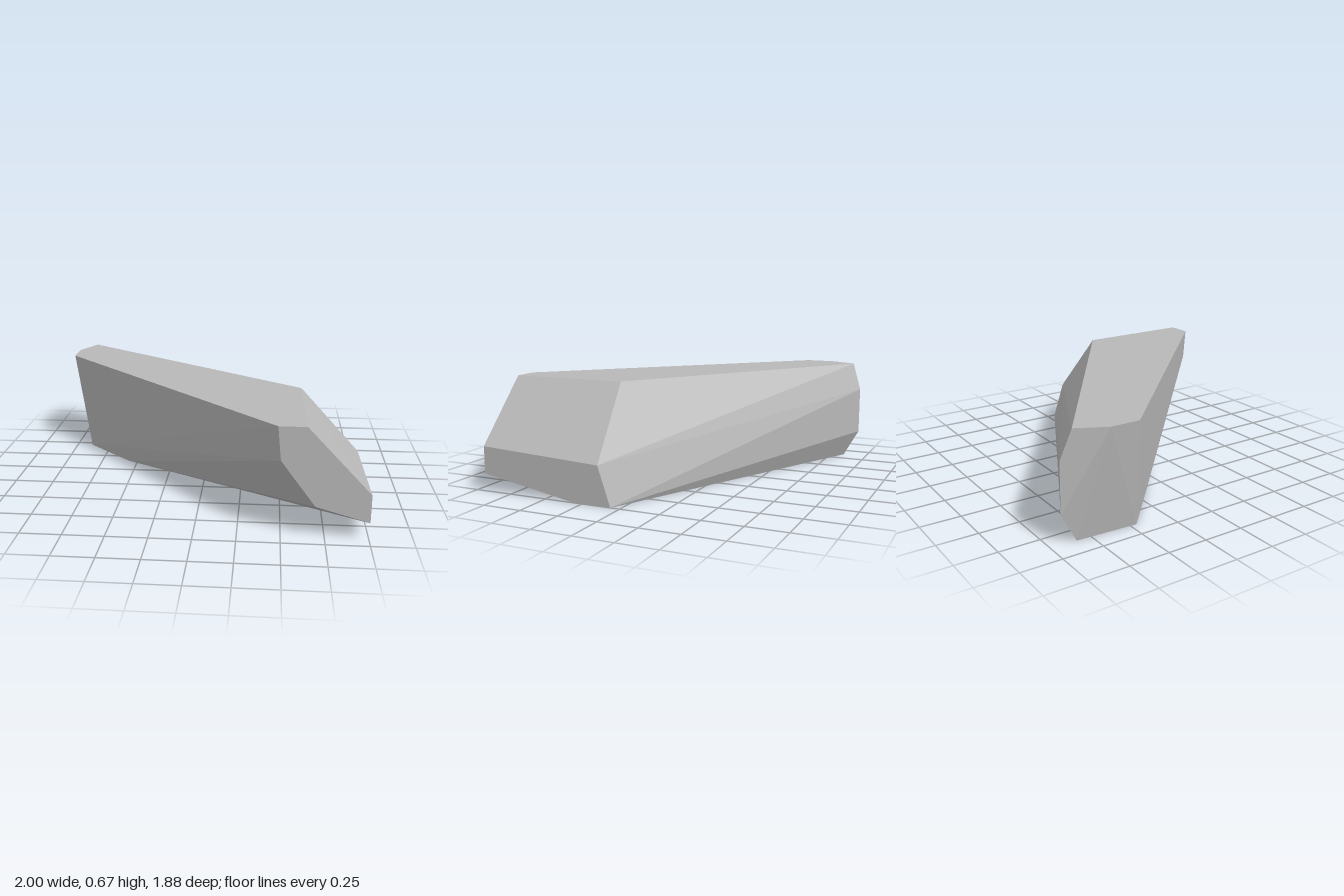
import * as THREE from 'three';
import { ConvexGeometry } from 'three/addons/geometries/ConvexGeometry.js';

export function createModel() {
  const group = new THREE.Group();
  group.name = 'rock';
  const stone = new THREE.MeshStandardMaterial({ color: 0xb8b8b8, flatShading: true });
  stone.name = 'stone grey';

  // Corners of the faceted stone, grouped by the flat they lie on
  const H = 0.67;
  const F = 0.935;
  const corners = [
    // flat top
    [-1, H, -0.7], [-0.91, H, -0.88], [0.62, H, 0.19], [0.63, H, F], [0.47, H, F], [-1, H, -0.52],
    // front end
    [1, 0.28, F], [1, 0.11, F], [0.69, 0.2, F], [0.49, 0.47, F],
    // left side
    [1, 0.24, 0.14], [1, 0, 0.06], [1, 0, 0.3],
    // back corner
    [-0.88, 0.49, -0.94], [-0.88, 0.18, -0.94],
    // flat base
    [-0.87, 0, -0.84], [-0.89, 0, -0.46], [-0.56, 0, -0.16],
  ].map((c) => new THREE.Vector3(...c));

  const body = new THREE.Mesh(new ConvexGeometry(corners), stone);
  body.name = 'stoneBody';
  group.add(body);
  return group;
}
